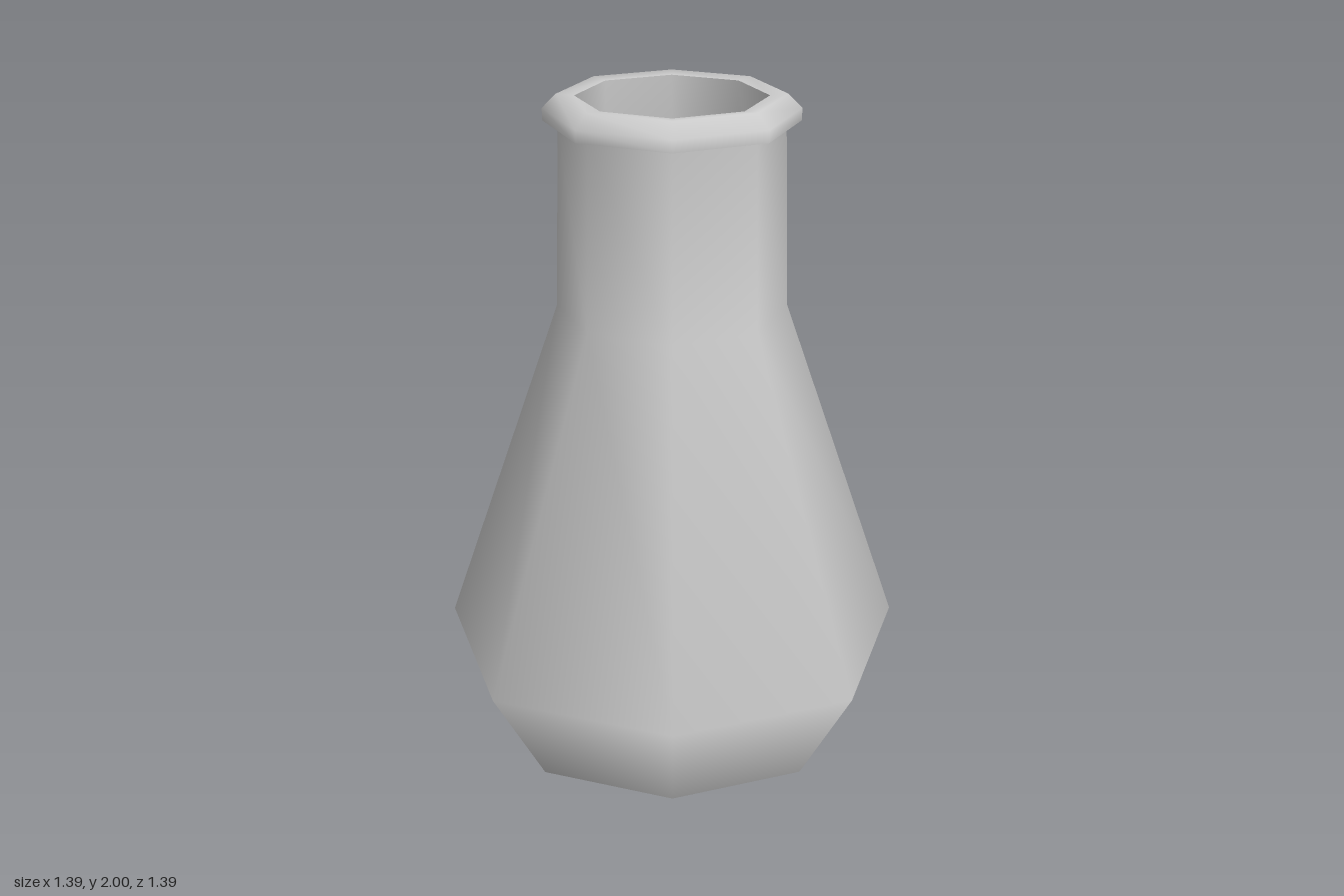
import * as THREE from 'three';

const SIDES = 8;

export function createModel() {
  const flask = new THREE.Group();
  flask.name = 'flask';
  const material = new THREE.MeshStandardMaterial({ color: 0xcccccc });

  // Eight-sided revolved part; the belly bulges slightly on its diagonal corners
  function turned(name, profile) {
    const points = profile.map(([r, y]) => new THREE.Vector2(r, y));
    const geometry = new THREE.LatheGeometry(points, SIDES);
    const pos = geometry.attributes.position;
    for (let i = 0; i < pos.count; i++) {
      const corner = Math.floor(i / points.length);
      if (corner % 2 === 1 && pos.getY(i) < 0.5) {
        pos.setX(i, pos.getX(i) * 1.06);
        pos.setZ(i, pos.getZ(i) * 1.06);
      }
    }
    const mesh = new THREE.Mesh(geometry, material);
    mesh.name = name;
    flask.add(mesh);
  }

  // Separate profiles keep the edges between parts sharp
  turned('base', [[0, 0], [0.52, 0]]);
  turned('body', [[0.52, 0], [0.695, 0.35], [0.337, 1.38], [0.32, 1.925]]);
  turned('lipUnderside', [[0.318, 1.925], [0.362, 1.925]]);
  turned('lip', [[0.362, 1.925], [0.363, 1.96], [0.322, 2], [0.272, 1.995]]);

  // Hollow interior, following the outer wall down to the floor
  turned('innerWall', [[0.272, 1.995], [0.285, 1.38], [0.63, 0.35], [0.47, 0.06], [0, 0.06]]);

  return flask;
}
